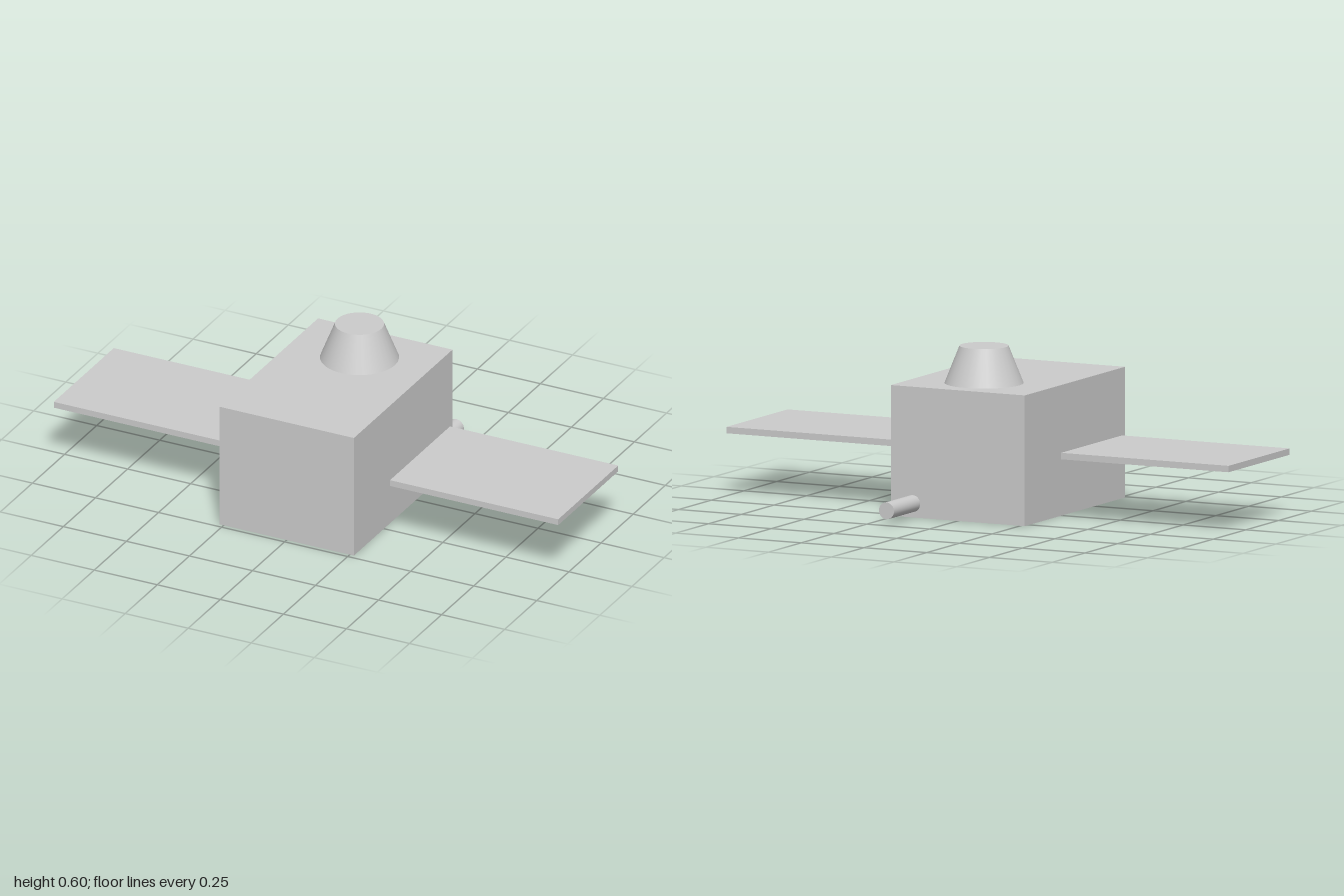
import * as THREE from 'three';

export function createModel() {
  const model = new THREE.Group();
  const material = new THREE.MeshStandardMaterial({ color: 0xcccccc });

  const add = (name, geometry, x, y, z) => {
    const mesh = new THREE.Mesh(geometry, material);
    mesh.name = name;
    mesh.position.set(x, y, z);
    model.add(mesh);
    return mesh;
  };

  // Main box body
  add('body', new THREE.BoxGeometry(0.533, 0.467, 0.767), 0, 0.2335, 0.1);

  // Tapered turret on the roof, towards the back
  add('turret', new THREE.CylinderGeometry(0.087, 0.14, 0.133, 32), 0, 0.5335, -0.083);

  // Thin side panels floating clear of the body
  for (const [name, side] of [['leftPanel', 1], ['rightPanel', -1]]) {
    add(name, new THREE.BoxGeometry(0.667, 0.023, 0.467), side * 0.6667, 0.235, 0.1);
  }

  // Pipe sticking out of the back
  const pipe = add('tailPipe', new THREE.CylinderGeometry(0.03, 0.03, 0.2, 32), 0.18, 0.05, -0.383);
  pipe.rotation.x = Math.PI / 2;

  return model;
}
